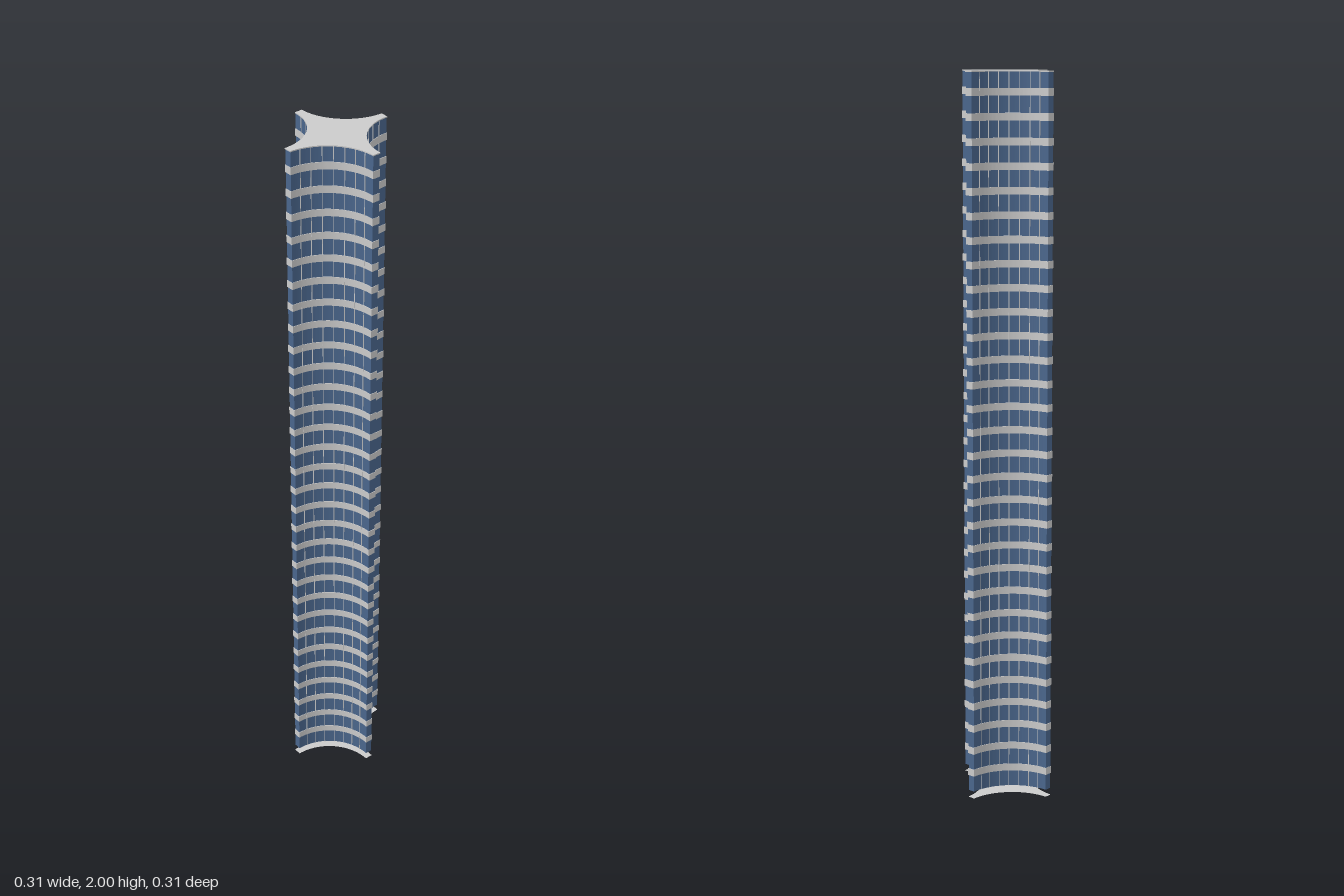
import * as THREE from 'three';
import { toCreasedNormals } from 'three/addons/utils/BufferGeometryUtils.js';

const TIP = 0.153;        // reach of each arm
const HALF = 0.011;       // half width of an arm's end
const FLOORS = 31;
const STOREY = 2 / FLOORS;
const SLAB = 0.02;

// Four-armed plan with concave quarter-circle sides, shrunk by an inset
function plan(inset = 0) {
  const t = TIP - inset, w = HALF - inset, r = t - w, q = Math.PI / 2;
  const s = new THREE.Shape();
  s.moveTo(t, -w);
  s.lineTo(t, w);
  s.absarc(t, t, r, -q, -2 * q, true);
  s.lineTo(-w, t);
  s.absarc(-t, t, r, 0, -q, true);
  s.lineTo(-t, -w);
  s.absarc(-t, -t, r, q, 0, true);
  s.lineTo(w, -t);
  s.absarc(t, -t, r, 2 * q, q, true);
  s.closePath();
  return s;
}

function prism(inset, height) {
  const g = new THREE.ExtrudeGeometry(plan(inset), { depth: height, bevelEnabled: false, curveSegments: 20 });
  g.rotateX(-Math.PI / 2);
  return toCreasedNormals(g, 0.5);
}

export function createModel() {
  const tower = new THREE.Group();
  tower.name = 'tower';
  const grey = new THREE.MeshStandardMaterial({ color: 0xcccccc });
  const plate = new THREE.MeshStandardMaterial({ color: 0xcccccc, side: THREE.DoubleSide });
  const glass = new THREE.MeshStandardMaterial({ color: 0x4a668c });

  const add = (name, geometry, material, y, parent = tower) => {
    const mesh = new THREE.Mesh(geometry, material);
    mesh.name = name;
    mesh.position.y = y;
    parent.add(mesh);
    return mesh;
  };

  // Glass body, starting just above the ground plate
  add('glassWalls', prism(0.0012, 2 - SLAB - 0.003), glass, SLAB);

  // Ground plate and roof
  add('groundPlate', new THREE.ShapeGeometry(plan(), 20).rotateX(-Math.PI / 2), plate, 0);
  add('roof', prism(0, 0.003), grey, 1.997);

  // One slab band per storey
  const slab = prism(0, SLAB);
  for (let i = 1; i < FLOORS; i++) add('floorSlab', slab, grey, i * STOREY);

  // Thin upright mullions spaced along each concave side
  const bar = new THREE.BoxGeometry(0.0016, 2 - SLAB - 0.002, 0.002);
  const count = 8, radius = TIP - HALF;
  for (let side = 0; side < 4; side++) {
    const group = new THREE.Group();
    group.name = 'mullions';
    group.rotation.y = side * Math.PI / 2;
    for (let i = 1; i < count; i++) {
      const a = Math.PI + (i / count) * Math.PI / 2;
      const m = add('mullion', bar, grey, 1 + SLAB / 2 - 0.001, group);
      m.position.x = TIP + Math.cos(a) * (radius + 0.0008);
      m.position.z = TIP + Math.sin(a) * (radius + 0.0008);
      m.rotation.y = Math.PI / 2 - a;
    }
    tower.add(group);
  }
  return tower;
}
